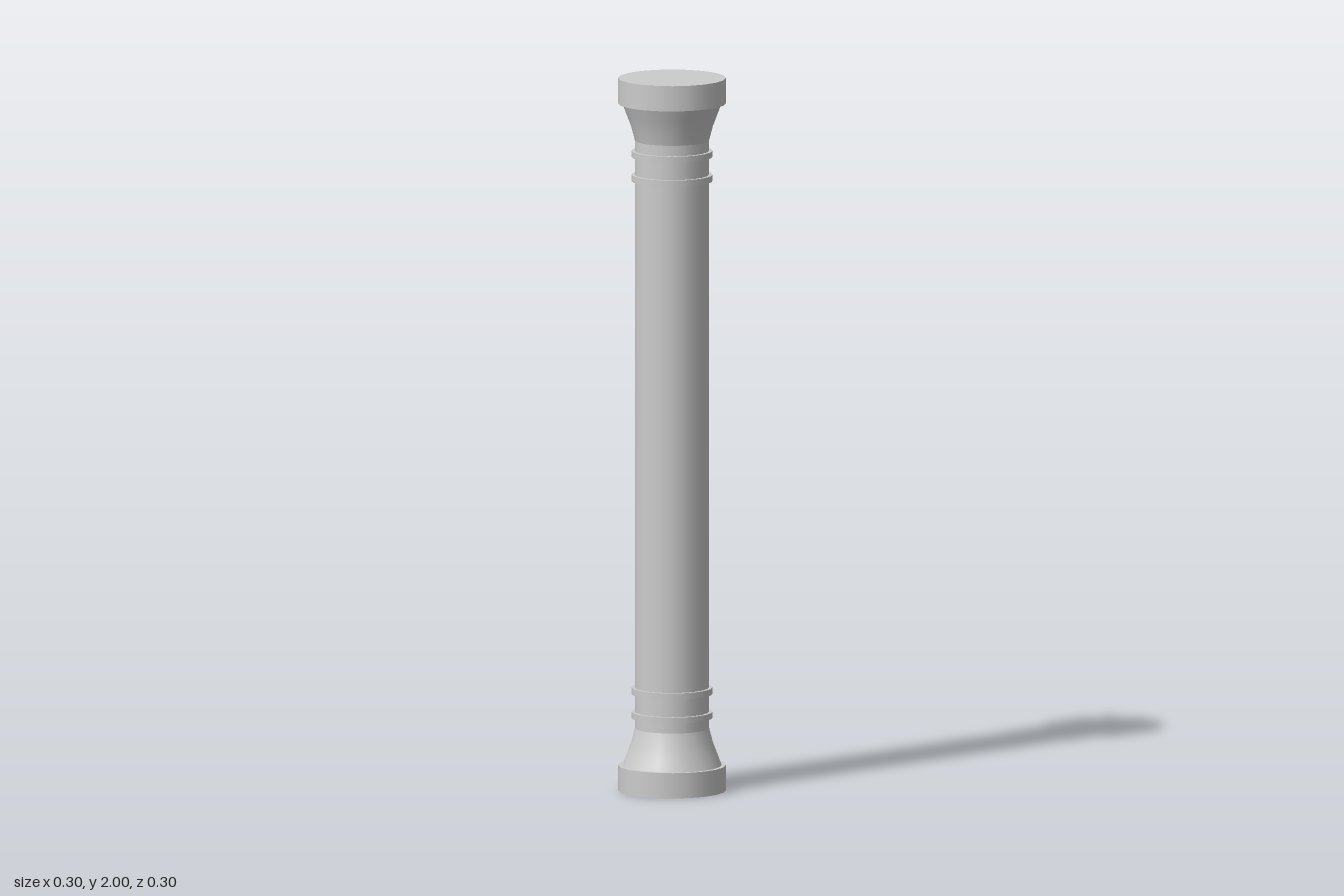
import * as THREE from 'three';

const SIDES = 20;
const SHAFT_R = 0.103;
const material = new THREE.MeshStandardMaterial({ color: 0xcccccc });

// Upright cylinder spanning y0..y1
function drum(name, radius, y0, y1, open = false) {
  const geometry = new THREE.CylinderGeometry(radius, radius, y1 - y0, SIDES, 1, open);
  const mesh = new THREE.Mesh(geometry, material);
  mesh.name = name;
  mesh.position.y = (y0 + y1) / 2;
  return mesh;
}

// Plinth, flare and two rings, standing on y = 0
function createEnd(name) {
  const end = new THREE.Group();
  end.name = name;
  end.add(drum('plinth', 0.15, 0, 0.071));

  // Slightly hollow flare from the plinth into the shaft
  const profile = [[0.138, 0.071], [0.125, 0.105], [0.113, 0.137], [SHAFT_R, 0.175]]
    .map(([r, y]) => new THREE.Vector2(r, y));
  const flare = new THREE.Mesh(new THREE.LatheGeometry(profile, SIDES), material);
  flare.name = 'flare';
  end.add(flare);

  end.add(drum('innerRing', 0.113, 0.204, 0.221));
  end.add(drum('outerRing', 0.113, 0.271, 0.289));
  return end;
}

export function createModel() {
  const column = new THREE.Group();
  column.name = 'column';

  column.add(drum('shaft', SHAFT_R, 0.175, 1.825, true));
  column.add(createEnd('base'));

  // The capital is the base turned upside down
  const capital = createEnd('capital');
  capital.rotation.z = Math.PI;
  capital.position.y = 2;
  column.add(capital);

  return column;
}
